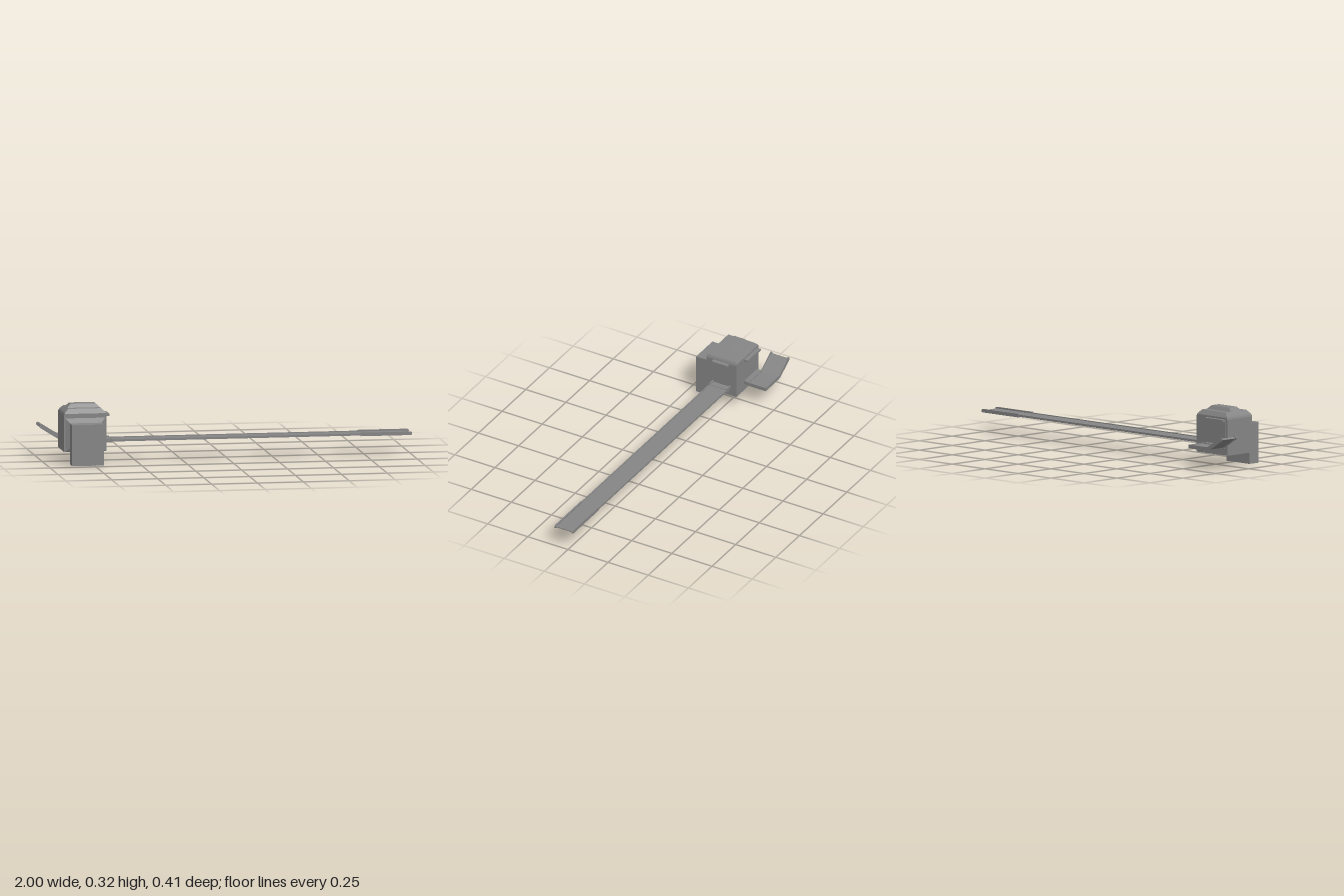
import * as THREE from 'three';

const material = new THREE.MeshStandardMaterial({ color: 0x858585, flatShading: true });

function add(parent, name, geometry) {
  const mesh = new THREE.Mesh(geometry, material);
  mesh.name = name;
  parent.add(mesh);
  return mesh;
}

// Box given by its lower and upper limits on each axis
function box(parent, name, [x0, x1], [y0, y1], [z0, z1]) {
  const mesh = add(parent, name, new THREE.BoxGeometry(x1 - x0, y1 - y0, z1 - z0));
  mesh.position.set((x0 + x1) / 2, (y0 + y1) / 2, (z0 + z1) / 2);
}

// Block whose low and high ends along one axis have different rectangles
function taper(parent, name, axis, [lo, hi], low, high) {
  const geometry = new THREE.BoxGeometry(1, 1, 1);
  const p = geometry.attributes.position;
  const others = [0, 1, 2].filter((a) => a !== axis);
  for (let i = 0; i < p.count; i++) {
    const top = p.getComponent(i, axis) > 0;
    const rect = top ? high : low;
    others.forEach((a, k) => p.setComponent(i, a, rect[k][p.getComponent(i, a) > 0 ? 1 : 0]));
    p.setComponent(i, axis, top ? hi : lo);
  }
  geometry.computeVertexNormals();
  add(parent, name, geometry);
}

// Round bar along z
function roll(parent, name, radius, [x, y], [z0, z1]) {
  const mesh = add(parent, name, new THREE.CylinderGeometry(radius, radius, z1 - z0, 16));
  mesh.rotation.x = Math.PI / 2;
  mesh.position.set(x, y, (z0 + z1) / 2);
}

// Band of constant thickness following a path in x and y, extruded along z
function band(parent, name, path, thickness, [z0, z1]) {
  const upper = [], lower = [];
  path.forEach((pt, i) => {
    const a = path[Math.max(i - 1, 0)], b = path[Math.min(i + 1, path.length - 1)];
    const n = new THREE.Vector2(a.y - b.y, b.x - a.x).setLength(thickness / 2);
    upper.push(pt.clone().add(n));
    lower.unshift(pt.clone().sub(n));
  });
  const geometry = new THREE.ExtrudeGeometry(new THREE.Shape([...upper, ...lower]), {
    depth: z1 - z0, bevelEnabled: false,
  });
  add(parent, name, geometry).position.z = z0;
}

export function createModel() {
  const model = new THREE.Group();
  model.name = 'machineWithChutes';

  // Housing whose sides round softly into a chamfered roof: height, x limits, z limits
  const levels = [
    [0.067, [-0.903, -0.67], [-0.065, 0.123]],
    [0.262, [-0.903, -0.67], [-0.065, 0.123]],
    [0.272, [-0.9, -0.673], [-0.065, 0.123]],
    [0.28, [-0.895, -0.678], [-0.06, 0.118]],
    [0.297, [-0.876, -0.697], [-0.049, 0.107]],
  ];
  for (let i = 1; i < levels.length; i++) {
    const [y0, ...low] = levels[i - 1], [y1, ...high] = levels[i];
    taper(model, i === 1 ? 'housing' : 'roof', 1, [y0, y1], low, high);
  }
  taper(model, 'roofCap', 1, [0.297, 0.317],
    [[-0.876, -0.697], [-0.012, 0.068]], [[-0.854, -0.719], [0, 0.057]]);

  // Front cabinet on a tapered collar
  taper(model, 'cabinetCollar', 2, [0.123, 0.133],
    [[-0.895, -0.678], [0.067, 0.248]], [[-0.872, -0.7], [0.085, 0.222]]);
  box(model, 'frontCabinet', [-0.872, -0.7], [0, 0.222], [0.133, 0.204]);

  // Ledges over the two openings, each with a hairline side strip
  box(model, 'sideLedge', [-0.67, -0.647], [0.25, 0.262], [-0.02, 0.077]);
  box(model, 'sideStrip', [-0.67, -0.6692], [0.15, 0.25], [-0.02, -0.019]);
  box(model, 'backLedge', [-0.888, -0.75], [0.25, 0.262], [-0.088, -0.065]);
  box(model, 'backStrip', [-0.888, -0.887], [0.15, 0.25], [-0.0658, -0.065]);

  // Long chute with side rails, deeper at both ends
  const chute = new THREE.Group();
  chute.name = 'longChute';
  model.add(chute);
  box(chute, 'chuteFloor', [-0.67, 0.987], [0.112, 0.118], [-0.025, 0.08]);
  roll(chute, 'chuteEndRoll', 0.0045, [0.987, 0.1145], [-0.025, 0.08]);
  box(chute, 'chuteMouth', [-0.67, -0.632], [0.108, 0.12], [-0.02, 0.078]);
  for (const z of [-0.025, 0.081]) {
    const side = [z - 0.004, z + 0.004];
    box(chute, 'chuteRail', [-0.64, 0.73], [0.111, 0.122], [z - 0.003, z + 0.003]);
    box(chute, 'mouthRail', [-0.67, -0.632], [0.106, 0.127], side);
    box(chute, 'endRail', [0.72, 0.99], [0.107, 0.126], side);
    roll(chute, 'railTip', 0.0095, [0.9905, 0.1165], side);
  }

  // Short tray behind the housing, bending up toward one side
  const tray = new THREE.Group();
  tray.name = 'backTray';
  model.add(tray);
  const bend = new THREE.QuadraticBezierCurve(
    new THREE.Vector2(-0.907, 0.1245), new THREE.Vector2(-0.894, 0.116), new THREE.Vector2(-0.878, 0.116));
  const path = [new THREE.Vector2(-0.992, 0.178), ...bend.getPoints(5), new THREE.Vector2(-0.747, 0.116)];
  band(tray, 'trayFloor', path, 0.01, [-0.2, -0.091]);
  box(tray, 'trayEndLip', [-0.751, -0.747], [0.106, 0.126], [-0.202, -0.089]);
  for (const [z, inward] of [[-0.202, 1], [-0.089, -1]]) {
    const side = (width) => [z, z + inward * width].sort((a, b) => a - b);
    band(tray, 'trayRail', path, 0.02, side(0.003));
    roll(tray, 'trayRailTip', 0.01, [-0.99, 0.177], side(0.007));
  }
  box(tray, 'trayMouth', [-0.888, -0.75], [0.106, 0.126], [-0.095, -0.065]);

  return model;
}
